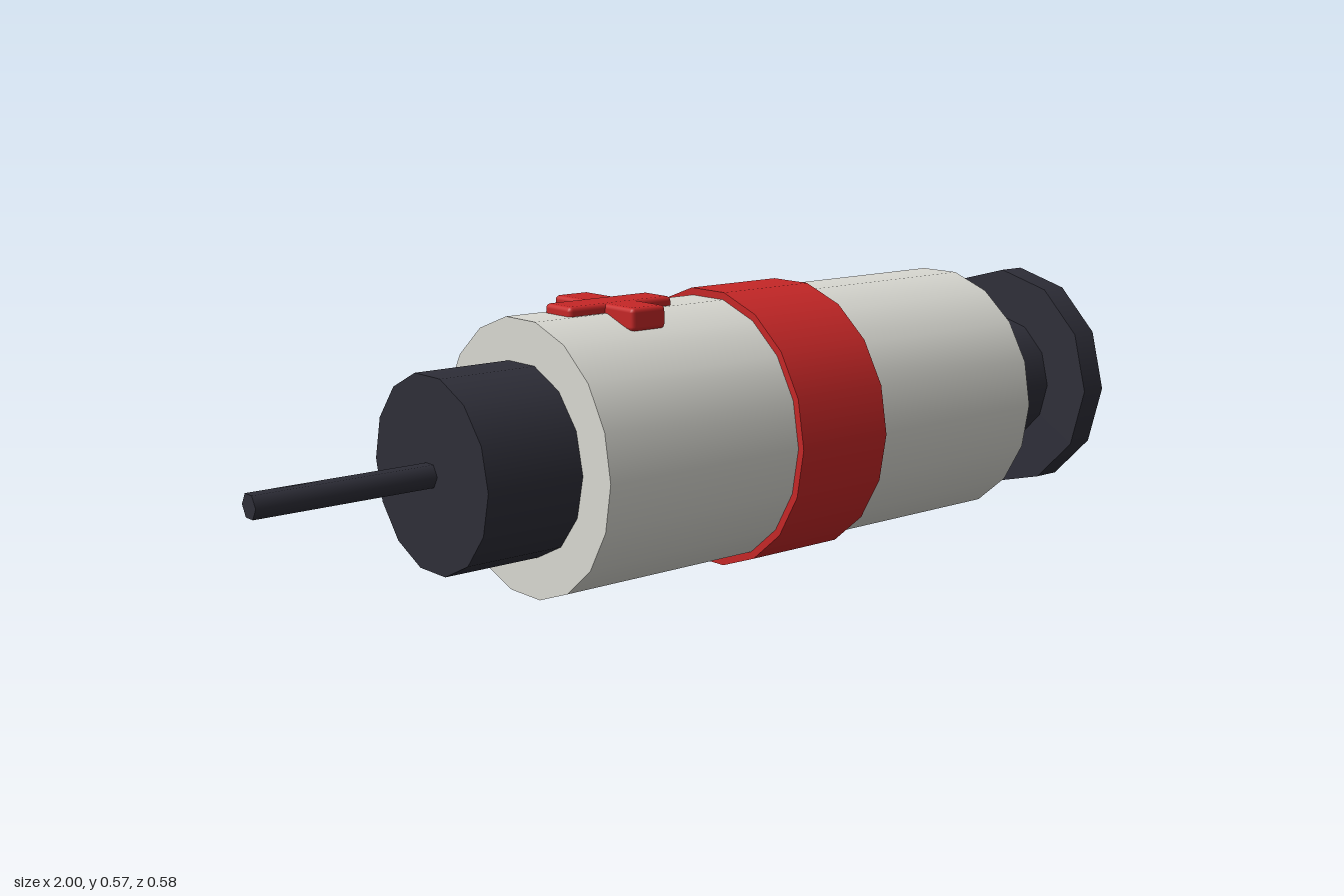
import * as THREE from 'three';
import { RoundedBoxGeometry } from 'three/addons/geometries/RoundedBoxGeometry.js';

const AXIS_Y = 0.284;

function material(name, color) {
  const m = new THREE.MeshStandardMaterial({ color });
  m.name = name;
  return m;
}

export function createModel() {
  const white = material('offWhite', 0xd9d9d2);
  const red = material('medicalRed', 0xc62727);
  const dark = material('darkGrey', 0x2e2e38);
  const model = new THREE.Group();
  model.name = 'syringe';

  // Cylinder lying along x between two ends
  const rod = (name, x0, x1, radius, sides, mat) => {
    const geo = new THREE.CylinderGeometry(radius, radius, x1 - x0, sides);
    geo.rotateZ(-Math.PI / 2);
    const mesh = new THREE.Mesh(geo, mat);
    mesh.name = name;
    mesh.position.set((x0 + x1) / 2, AXIS_Y, 0);
    model.add(mesh);
  };

  rod('needle', -1, -0.63, 0.025, 6, dark);
  rod('nozzleCollar', -0.635, -0.42, 0.19, 14, dark);
  rod('barrel', -0.427, 0.722, 0.273, 18, white);
  rod('band', 0.035, 0.264, 0.288, 18, red);
  rod('plungerSeal', 0.7, 0.724, 0.165, 14, dark);
  rod('plungerShaft', 0.71, 0.94, 0.145, 12, dark);
  rod('thumbDisc', 0.937, 1, 0.252, 12, dark);

  // Raised cross on top of the barrel, from two soft-edged bars
  const cross = new THREE.Group();
  cross.name = 'cross';
  cross.position.set(-0.217, 0.548, 0);
  [0, Math.PI / 2].forEach((turn, i) => {
    const bar = new THREE.Mesh(new RoundedBoxGeometry(0.25, 0.046 - i * 0.001, 0.082, 2, 0.009), red);
    bar.name = i ? 'crossBarAcross' : 'crossBarAlong';
    bar.rotation.y = turn;
    cross.add(bar);
  });
  model.add(cross);

  return model;
}
